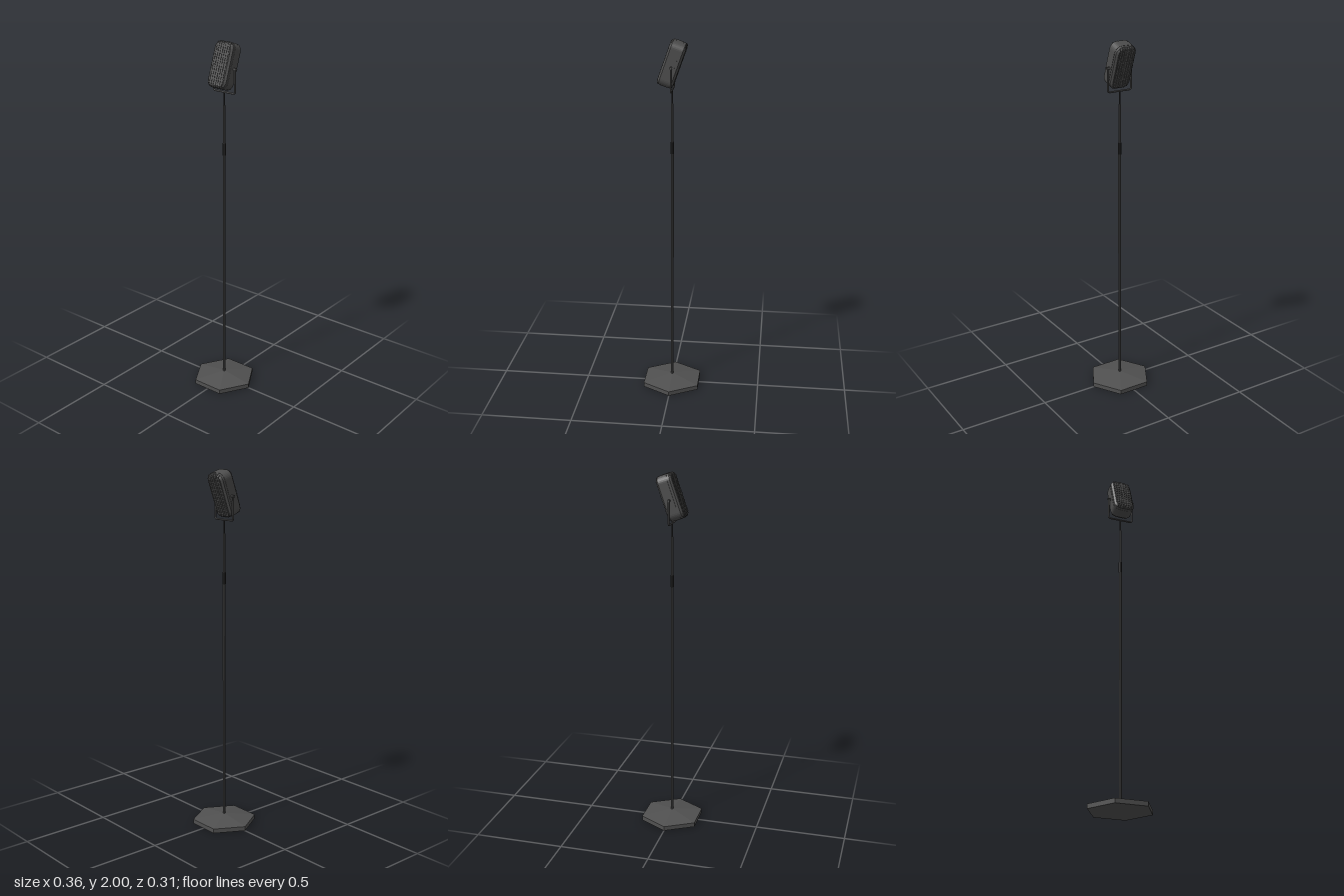
import * as THREE from 'three';

const mat = (name, color, flatShading = true) => {
  const m = new THREE.MeshStandardMaterial({ color, flatShading });
  m.name = name;
  return m;
};

export function createModel() {
  const metal = mat('dark grey metal', 0x505050);
  const shell = mat('shell grey', 0x4c4c4c);
  const grille = mat('grille charcoal', 0x404040);
  const black = mat('collar black', 0x2c2c2c);

  const model = new THREE.Group();
  model.name = 'standMicrophone';
  const add = (parent, name, geo, material, x = 0, y = 0, z = 0) => {
    const m = new THREE.Mesh(geo, material);
    m.name = name;
    m.position.set(x, y, z);
    parent.add(m);
    return m;
  };
  // upright cylinder between two heights
  const rod = (name, r, y0, y1, material) =>
    add(model, name, new THREE.CylinderGeometry(r, r, y1 - y0, 10), material, 0, (y0 + y1) / 2, 0);

  // hexagonal base: low rim with a shallow pyramid on top
  const hex = (top, bottom, h) => new THREE.CylinderGeometry(top, bottom, h, 6).rotateY(Math.PI / 6);
  add(model, 'baseRim', hex(0.18, 0.18, 0.025), metal, 0, 0.0125, 0);
  add(model, 'baseTop', hex(0.008, 0.18, 0.025), metal, 0, 0.0375, 0);

  // telescopic stand
  rod('lowerPole', 0.008, 0.03, 1.4, metal);
  rod('collar', 0.0095, 1.385, 1.45, black);
  rod('upperPole', 0.0065, 1.44, 1.66, metal);
  rod('stem', 0.004, 1.65, 1.735, black);

  // U-shaped yoke
  const pivotY = 1.873;
  const yoke = new THREE.CurvePath();
  const V = (x, y) => new THREE.Vector3(x, y, 0);
  const corners = [V(-0.072, 1.862), V(-0.072, 1.745), V(-0.06, 1.733), V(0.06, 1.733), V(0.072, 1.745), V(0.072, 1.862)];
  yoke.add(new THREE.LineCurve3(corners[0], corners[1]));
  yoke.add(new THREE.QuadraticBezierCurve3(corners[1], V(-0.072, 1.733), corners[2]));
  yoke.add(new THREE.LineCurve3(corners[2], corners[3]));
  yoke.add(new THREE.QuadraticBezierCurve3(corners[3], V(0.072, 1.733), corners[4]));
  yoke.add(new THREE.LineCurve3(corners[4], corners[5]));
  add(model, 'yoke', new THREE.TubeGeometry(yoke, 64, 0.005, 6), metal);
  for (const s of [-1, 1]) {
    add(model, 'pivotKnob', new THREE.CylinderGeometry(0.007, 0.007, 0.026, 10).rotateZ(Math.PI / 2),
      metal, s * 0.067, 1.862, 0);
  }

  // tilted head
  const head = new THREE.Group();
  head.name = 'head';
  head.position.y = pivotY;
  head.rotation.x = -THREE.MathUtils.degToRad(19.5);
  model.add(head);

  const W = 0.06, H = 0.122, R = 0.038, D = 0.043, B = 0.01;
  const pill = (g) => {
    const w = W + g, h = H + g, r = R + g, s = new THREE.Shape();
    s.moveTo(w, -h + r);
    s.lineTo(w, h - r);
    s.absarc(w - r, h - r, r, 0, Math.PI / 2);
    s.lineTo(-w + r, h);
    s.absarc(-w + r, h - r, r, Math.PI / 2, Math.PI);
    s.lineTo(-w, -h + r);
    s.absarc(-w + r, -h + r, r, Math.PI, Math.PI * 1.5);
    s.lineTo(w - r, -h);
    s.absarc(w - r, -h + r, r, Math.PI * 1.5, Math.PI * 2);
    return s;
  };
  const body = new THREE.ExtrudeGeometry(pill(0), {
    depth: 2 * (D - B), bevelThickness: B, bevelSize: B, bevelOffset: -B, bevelSegments: 1, curveSegments: 4,
  });
  add(head, 'headShell', body, shell, 0, 0, -(D - B));
  // band running round the sides
  const band = new THREE.ExtrudeGeometry(pill(0.0015), { depth: 0.04, bevelEnabled: false, curveSegments: 4 });
  add(head, 'sideBand', band, shell, 0, 0, -0.02);

  // height of the rounded outline at a given x
  const edge = (x) => {
    const d = Math.max(0, Math.abs(x) - (W - R));
    return H - R + Math.sqrt(R * R - d * d);
  };
  // half-width of the rounded outline at a given y
  const span = (y) => {
    const d = Math.max(0, Math.abs(y) - (H - R));
    return W - R + Math.sqrt(R * R - d * d);
  };

  for (const s of [1, -1]) {
    const face = new THREE.Group();
    face.name = s > 0 ? 'frontGrille' : 'backGrille';
    face.rotation.y = s > 0 ? 0 : Math.PI;
    head.add(face);
    // vertical ribs bending over the chamfer at both ends
    for (let i = -3; i <= 3; i++) {
      const x = i * 0.0138, h = edge(x);
      const pts = [[h - 0.001, D - B], [h - B, D - 0.001], [-h + B, D - 0.001], [-h + 0.001, D - B]]
        .map(([y, z]) => new THREE.Vector3(x, y, z));
      const path = new THREE.CurvePath();
      for (let k = 0; k < 3; k++) path.add(new THREE.LineCurve3(pts[k], pts[k + 1]));
      add(face, 'rib', new THREE.TubeGeometry(path, 24, 0.0032, 6), grille);
    }
    // horizontal slats
    for (let j = -5; j <= 5; j++) {
      const y = j * 0.0195;
      add(face, 'slat', new THREE.BoxGeometry(2 * (span(y) - B), 0.005, 0.004), grille, 0, y, D);
    }
    // centre strip
    add(face, 'centreStrip', new THREE.BoxGeometry(0.007, 2 * (H - B), 0.006), shell, 0, 0, D);
  }
  return model;
}
